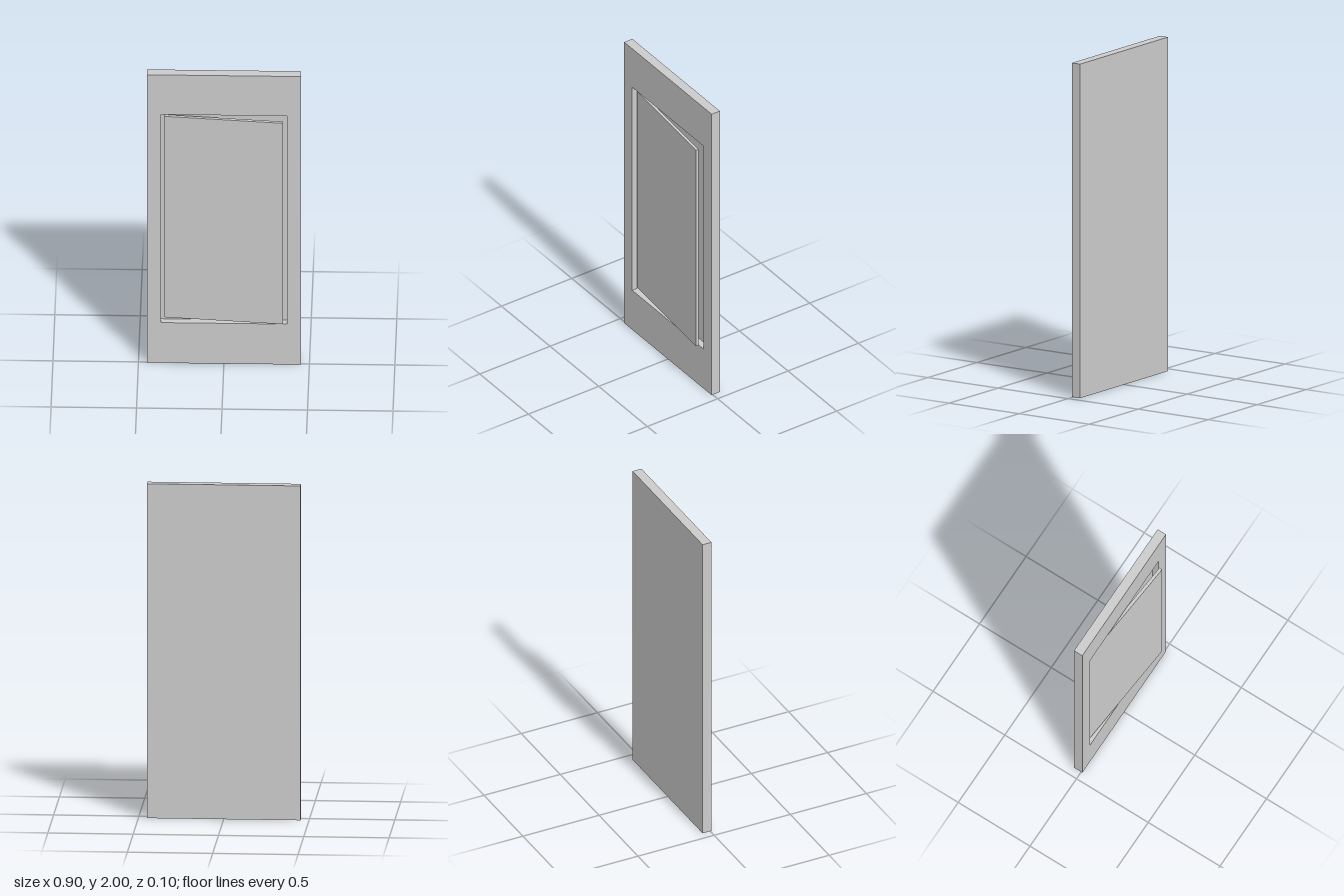
import * as THREE from 'three';

const WIDTH = 0.9, HEIGHT = 2;
const BACK = -0.05, FRONT = 0.008, FLOOR = -0.034;

function rectangle(path, x0, y0, x1, y1) {
  path.moveTo(x0, y0);
  path.lineTo(x1, y0);
  path.lineTo(x1, y1);
  path.lineTo(x0, y1);
  path.closePath();
  return path;
}

export function createModel() {
  const group = new THREE.Group();
  const material = new THREE.MeshStandardMaterial({ color: 0xcccccc });
  const add = (name, geometry, x, y, z) => {
    const mesh = new THREE.Mesh(geometry, material);
    mesh.name = name;
    mesh.position.set(x, y, z);
    group.add(mesh);
    return mesh;
  };

  // Front layer of the slab, with the rectangular opening of the recess
  const outline = rectangle(new THREE.Shape(), -WIDTH / 2, 0, WIDTH / 2, HEIGHT);
  outline.holes.push(rectangle(new THREE.Path(), -0.368, 0.28, 0.368, 1.725));
  const frame = new THREE.ExtrudeGeometry(outline, { depth: FRONT - FLOOR, bevelEnabled: false });
  add('frame', frame, 0, 0, FLOOR);

  // Back layer, closing the recess
  const board = new THREE.BoxGeometry(WIDTH, HEIGHT, FLOOR - BACK);
  add('backBoard', board, 0, HEIGHT / 2, (FLOOR + BACK) / 2);

  // Thin door standing slightly ajar, its left-hand edge sunk in the recess
  const door = add('door', new THREE.BoxGeometry(0.696, 1.395, 0.019), 0, 1.0025, 0.0088);
  door.rotation.y = -THREE.MathUtils.degToRad(5);

  return group;
}
